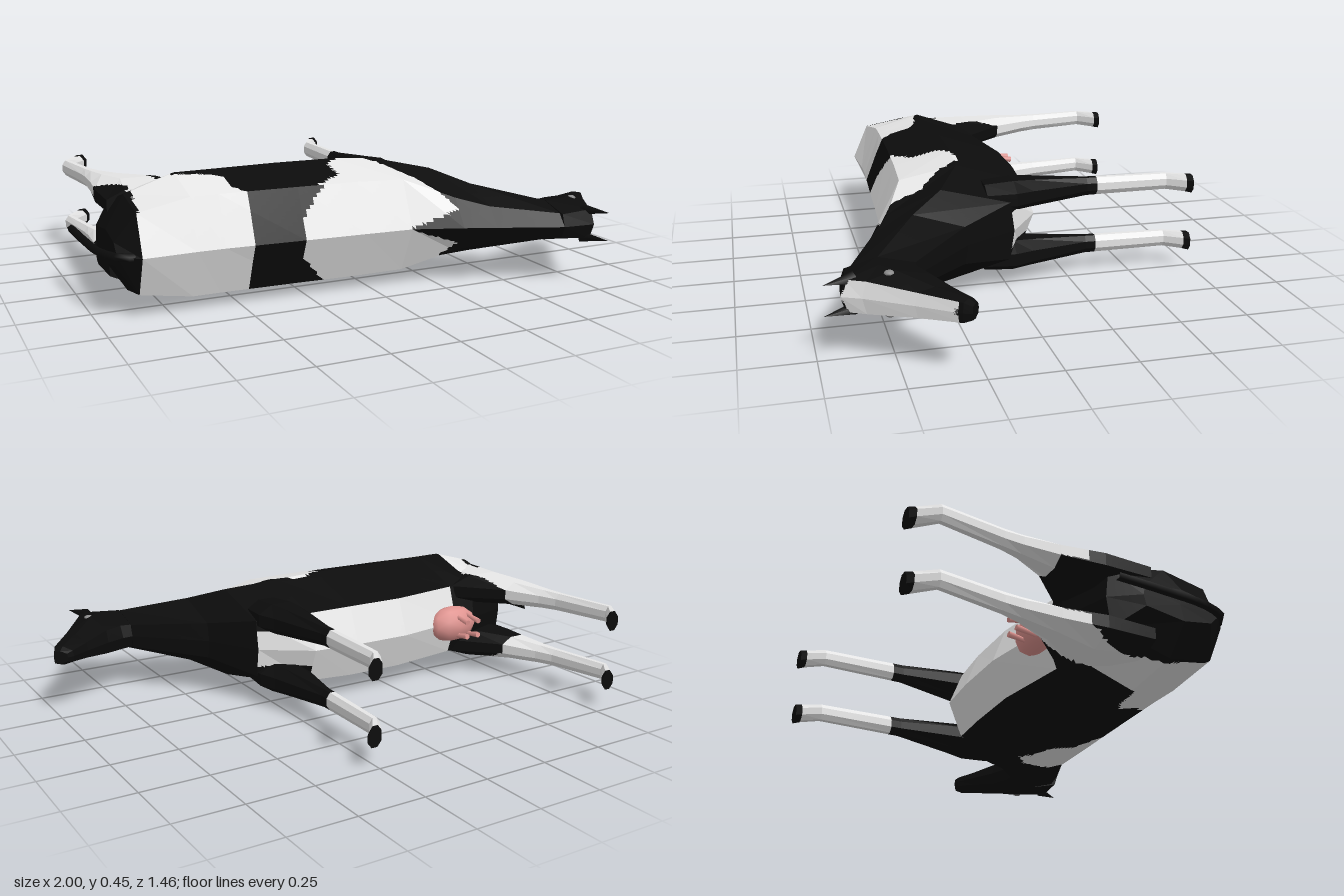
import * as THREE from 'three';

const MID = 0.225; // height of the animal's plane of symmetry (it lies on its side)
const V = (x, w, z) => new THREE.Vector3(x, MID + w, z);

function material(name, color) {
  const m = new THREE.MeshStandardMaterial({ color });
  m.name = name;
  return m;
}

// Point-in-polygon test for the coat patches
function inside(poly, x, y) {
  let hit = false;
  for (let i = 0, j = poly.length - 1; i < poly.length; j = i++) {
    const [xi, yi] = poly[i], [xj, yj] = poly[j];
    if ((yi > y) !== (yj > y) && x < ((xj - xi) * (y - yi)) / (yj - yi) + xi) hit = !hit;
  }
  return hit;
}

// Flat-faced skin over closed rings; every facet is split n times so patches get clean edges
function loft(name, rings, n, mats, pick) {
  const out = mats.map(() => []);
  const facet = (a, b, c, strip, div) => {
    const at = (i, j) => a.clone().addScaledVector(b.clone().sub(a), i / div)
      .addScaledVector(c.clone().sub(a), j / div);
    const put = (p, q, r) => {
      const m = p.clone().add(q).add(r).divideScalar(3);
      const list = out[pick(m.x, Math.abs(m.y - MID), m.z, strip)];
      for (const v of [p, q, r]) list.push(v.x, v.y, v.z);
    };
    for (let i = 0; i < div; i++) for (let j = 0; j < div - i; j++) {
      put(at(i, j), at(i + 1, j), at(i, j + 1));
      if (i + j < div - 1) put(at(i + 1, j), at(i + 1, j + 1), at(i, j + 1));
    }
  };
  const count = rings[0].length;
  for (let r = 0; r < rings.length - 1; r++) for (let k = 0; k < count; k++) {
    const l = (k + 1) % count;
    const a = rings[r][k], b = rings[r][l], d = rings[r + 1][k], c = rings[r + 1][l];
    const strip = Math.min(k, count - 1 - k);
    facet(a, d, b, strip, n);
    facet(b, d, c, strip, n);
  }
  // End caps
  for (const [ring, flip] of [[rings[0], false], [rings[rings.length - 1], true]]) {
    const mid = ring.reduce((s, p) => s.add(p), new THREE.Vector3()).divideScalar(count);
    ring.forEach((p, k) => {
      const q = ring[(k + 1) % count];
      if (flip) facet(mid, q, p, 4, 1); else facet(mid, p, q, 4, 1);
    });
  }
  const geo = new THREE.BufferGeometry();
  geo.setAttribute('position', new THREE.Float32BufferAttribute(out.flat(), 3));
  let start = 0;
  out.forEach((list, i) => {
    geo.addGroup(start, list.length / 3, i);
    start += list.length / 3;
  });
  geo.computeVertexNormals();
  const mesh = new THREE.Mesh(geo, mats);
  mesh.name = name;
  return mesh;
}

// Eight-point ring between a top and a bottom point; edges are [half width, fraction down]
function bodyRing(tx, tz, bx, bz, edges) {
  const p = (w, f) => V(tx + (bx - tx) * f, w, tz + (bz - tz) * f);
  return [p(0, 0), ...edges.map(([w, f]) => p(w, f)), p(0, 1),
    ...edges.toReversed().map(([w, f]) => p(-w, f))];
}

// Coat patches: on the flanks (x, z) and across the back (x, distance from spine)
const flankRear = [[-0.86, 0.45], [-0.47, 0.45], [-0.47, 0.36], [-0.51, 0.3], [-0.5, 0.23],
  [-0.55, 0.2], [-0.68, 0.18], [-0.69, -0.02], [-0.73, -0.22],
  [-0.92, -0.22], [-0.885, -0.09], [-0.835, -0.02], [-0.81, 0.08], [-0.84, 0.24]];
const flankFore = [[-0.27, 0.43], [-0.19, 0.35], [-0.09, 0.29], [-0.09, 0.19], [-0.03, 0.15],
  [0.05, 0.13], [0.12, 0.2], [0.12, 0.43]];
const backFore = [[-0.28, -0.01], [-0.28, 0.07], [-0.2, 0.16], [-0.15, 0.2], [0.13, 0.2],
  [0.22, 0.155], [0.31, 0.065], [0.12, 0], [0.12, -0.01]];

function trunkColour(x, w, z, strip) {
  if (strip === 3) return (x > -0.57 && x < 0.13) || (x >= 0.13 && x < 0.31 && w < 0.07) ? 1 : 0;
  if (strip === 0) return (x > -0.86 && x < -0.47) || inside(backFore, x, w) ? 1 : 0;
  if (strip === 1 && x > 0.12) return inside(backFore, x, w) ? 1 : 0;
  return inside(flankRear, x, z) || inside(flankFore, x, z) ? 1 : 0;
}
const headColour = (x, w, z, strip) => (strip === 0 && x > 0.775 && x < 0.977 ? 1 : 0);
const foreColour = (x, w, z) => (z < -0.36 && z > -0.714 ? 1 : 0);
function hindColour(x, w, z) {
  if (z < -0.22) return z > -0.714 ? 1 : 0;
  return w > 0.1 && inside(flankRear, x, z) ? 1 : 0;
}

export function createModel() {
  const group = new THREE.Group();
  const black = material('black coat', 0x0c0c0c);
  const white = material('white coat', 0xe6e6e6);
  const pink = material('udder pink', 0xe09490);
  const grey = material('eye grey', 0x8a8a8a);
  const coat = [black, white];
  const add = (name, geo, mat) => {
    const m = new THREE.Mesh(geo, mat);
    m.name = name;
    group.add(m);
    return m;
  };

  // Trunk and neck: x, top, bottom, half widths of the back, flank and belly edges
  const trunk = [
    [-0.93, 0.37, 0.06, 0.04, 0.06, 0.04],
    [-0.86, 0.43, -0.04, 0.14, 0.17, 0.11],
    [-0.67, 0.42, -0.1, 0.175, 0.225, 0.14],
    [-0.57, 0.42, -0.11, 0.175, 0.225, 0.14],
    [-0.28, 0.435, -0.16, 0.175, 0.225, 0.14],
    [-0.05, 0.445, -0.16, 0.175, 0.225, 0.14],
    [0.13, 0.455, -0.145, 0.17, 0.213, 0.135],
    [0.31, 0.52, -0.02, 0.1, 0.178, 0.11],
    [0.42, 0.565, 0.18, 0.07, 0.13, 0.07],
    [0.65, 0.66, 0.4, 0.045, 0.075, 0.045],
  ].map(([x, top, bottom, back, flank, belly]) => bodyRing(x, top, x, bottom,
    [[back, 0.13], [flank, 0.49], [belly, x > -0.6 && x < 0.2 ? 0.91 : 0.97]]));
  group.add(loft('trunk', trunk, 14, coat, trunkColour));

  // Head: brow x, z, jaw x, z, half widths of brow and cheek
  const head = [
    [0.65, 0.66, 0.65, 0.4, 0.045, 0.075],
    [0.775, 0.67, 0.69, 0.395, 0.055, 0.08],
    [0.805, 0.605, 0.76, 0.37, 0.055, 0.077],
    [0.9, 0.455, 0.86, 0.315, 0.042, 0.05],
    [0.99, 0.325, 0.93, 0.275, 0.033, 0.036],
    [1.0, 0.297, 0.955, 0.268, 0.022, 0.025],
  ].map(([tx, tz, bx, bz, brow, cheek]) => bodyRing(tx, tz, bx, bz,
    [[brow, 0.06], [cheek, 0.47], [cheek * 0.6, 0.95]]));
  group.add(loft('head', head, 10, coat, headColour));

  // Legs: z, back x, front x, half thickness
  const foreLeg = [
    [0.08, 0.14, 0.3, 0.05], [-0.03, 0.12, 0.31, 0.057], [-0.1, 0.13, 0.285, 0.052],
    [-0.33, 0.173, 0.222, 0.034], [-0.65, 0.185, 0.227, 0.031],
    [-0.715, 0.222, 0.272, 0.033], [-0.735, 0.235, 0.29, 0.035]];
  const hindLeg = [
    [0.12, -0.9, -0.68, 0.05], [-0.06, -0.9, -0.58, 0.056], [-0.22, -0.88, -0.735, 0.046],
    [-0.35, -0.872, -0.798, 0.037], [-0.42, -0.874, -0.822, 0.034], [-0.65, -0.902, -0.862, 0.031],
    [-0.715, -0.856, -0.8, 0.033], [-0.735, -0.84, -0.785, 0.035]];
  for (const [side, s] of [['left', 1], ['right', -1]]) {
    for (const [name, rows, colour] of [['ForeLeg', foreLeg, foreColour], ['HindLeg', hindLeg, hindColour]]) {
      const rings = rows.map(([z, x0, x1, half]) => Array.from({ length: 8 }, (_, k) => {
        const a = (k + 0.5) * Math.PI / 4, f = 1 / Math.cos(Math.PI / 8);
        return V((x0 + x1) / 2 + (x1 - x0) / 2 * f * Math.cos(a), s * 0.117 + half * f * Math.sin(a), z);
      }));
      group.add(loft(side + name, rings, 8, coat, colour));
    }
    // Ears
    const ear = add(side + 'Ear', new THREE.ConeGeometry(0.022, 0.11, 5), black);
    ear.position.copy(V(0.775, s * 0.052, 0.675));
    ear.quaternion.setFromUnitVectors(new THREE.Vector3(0, 1, 0), new THREE.Vector3(0.4, 0, 0.92).normalize());
    // Eyes
    const eye = add(side + 'Eye', new THREE.SphereGeometry(0.018, 8, 6), grey);
    eye.position.copy(V(0.785, s * 0.07, 0.515));
    eye.scale.y = 0.5;
  }

  // Udder with four teats
  const bag = new THREE.IcosahedronGeometry(1, 1);
  bag.scale(0.11, 0.075, 0.065);
  add('udder', bag, pink).position.copy(V(-0.54, 0, -0.12));
  for (const x of [-0.59, -0.535]) for (const s of [1, -1]) {
    const teat = add('teat', new THREE.CylinderGeometry(0.012, 0.008, 0.08, 6), pink);
    teat.position.copy(V(x, s * 0.035, -0.19));
    teat.rotation.x = -Math.PI / 2 - s * 0.15;
  }

  // Tail
  const tail = new THREE.CatmullRomCurve3([[-0.85, 0.4], [-0.92, 0.385], [-0.965, 0.29], [-0.982, 0.1], [-0.988, -0.08]]
    .map(([x, z]) => V(x, 0, z)));
  add('tail', new THREE.TubeGeometry(tail, 12, 0.015, 5), black);

  return group;
}
